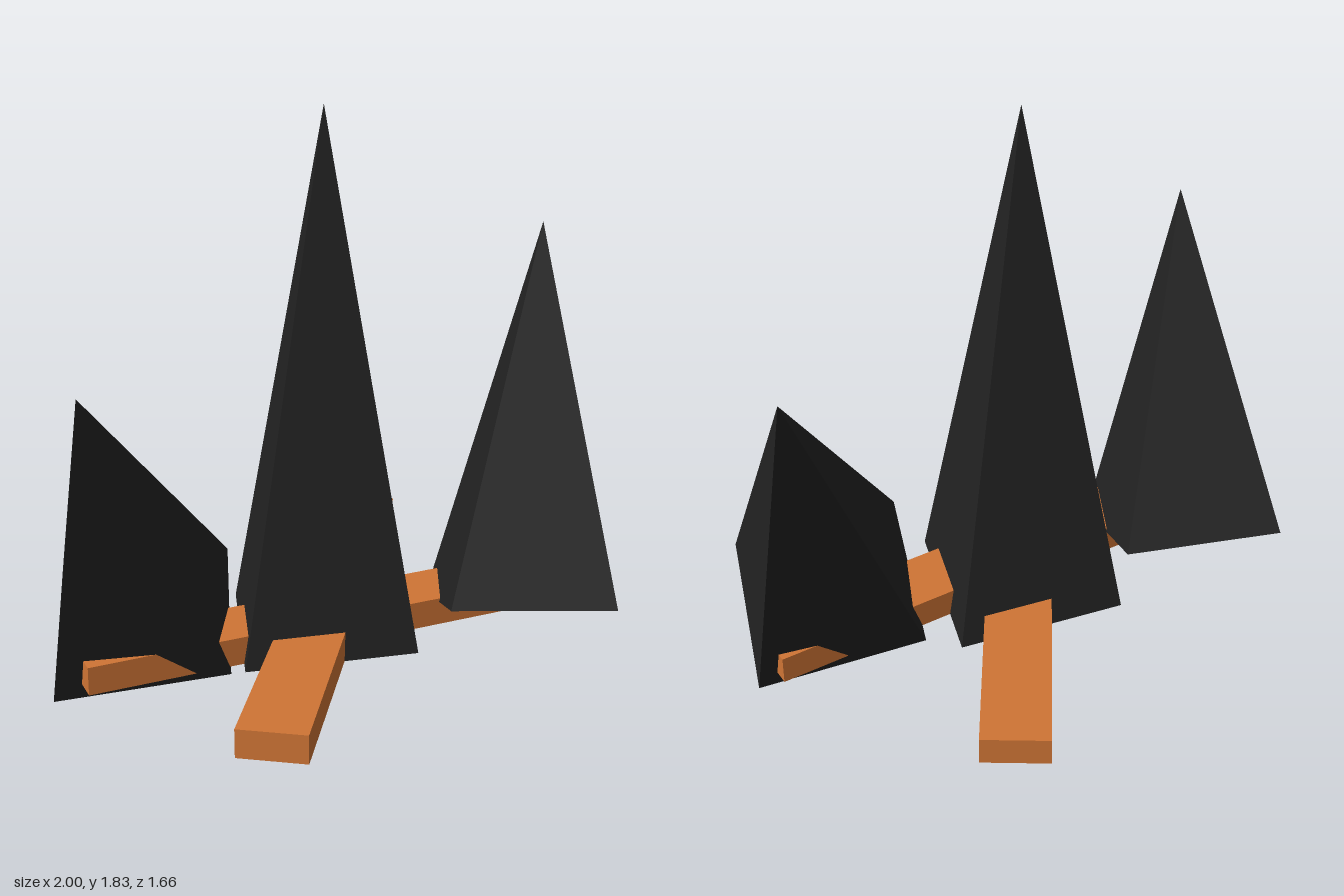
import * as THREE from 'three';
import { ConvexGeometry } from 'three/addons/geometries/ConvexGeometry.js';

const black = new THREE.MeshStandardMaterial({ color: 0x222222 });
black.name = 'charcoal black';
const orange = new THREE.MeshStandardMaterial({ color: 0xd07535 });
orange.name = 'copper orange';

const v = (a) => new THREE.Vector3(...a);

// Four-sided spike: a parallelogram base given by its centre and two half diagonals, plus a tip
function spike(name, centre, diagA, diagB, tip) {
  const points = [v(tip)];
  for (const d of [diagA, diagB]) {
    points.push(v(centre).add(v(d)), v(centre).sub(v(d)));
  }
  const mesh = new THREE.Mesh(new ConvexGeometry(points), black);
  mesh.name = name;
  return mesh;
}

// Flat square-cut bar lying at an angle
function beam(name, y, z, angle) {
  const mesh = new THREE.Mesh(new THREE.BoxGeometry(1.8, 0.095, 0.22), orange);
  mesh.name = name;
  mesh.position.set(0, y, z);
  mesh.rotation.y = angle;
  return mesh;
}

export function createModel() {
  const model = new THREE.Group();
  model.name = 'crossedSpikes';

  // Upright middle spike
  model.add(spike('centreSpike', [0, 0.07, -0.05], [0.43, 0, 0], [0, 0, 0.38], [0, 1.83, -0.045]));

  // Outward-leaning side spikes
  model.add(spike('leftSpike', [0.435, 0.12, 0.455], [0.4, -0.115, 0.025], [0, 0.0675, 0.3725], [1, 1.3, 0.19]));
  model.add(spike('rightSpike', [-0.44, 0.1325, -0.465], [-0.4, -0.1275, -0.035], [0, 0.08, -0.365], [-1, 1.13, -0.18]));

  // Crossed beams running through the spikes
  model.add(beam('longBeam', 0.1175, -0.046, 0.45));
  model.add(beam('crossBeam', 0.1165, 0.013, -0.54));

  return model;
}
